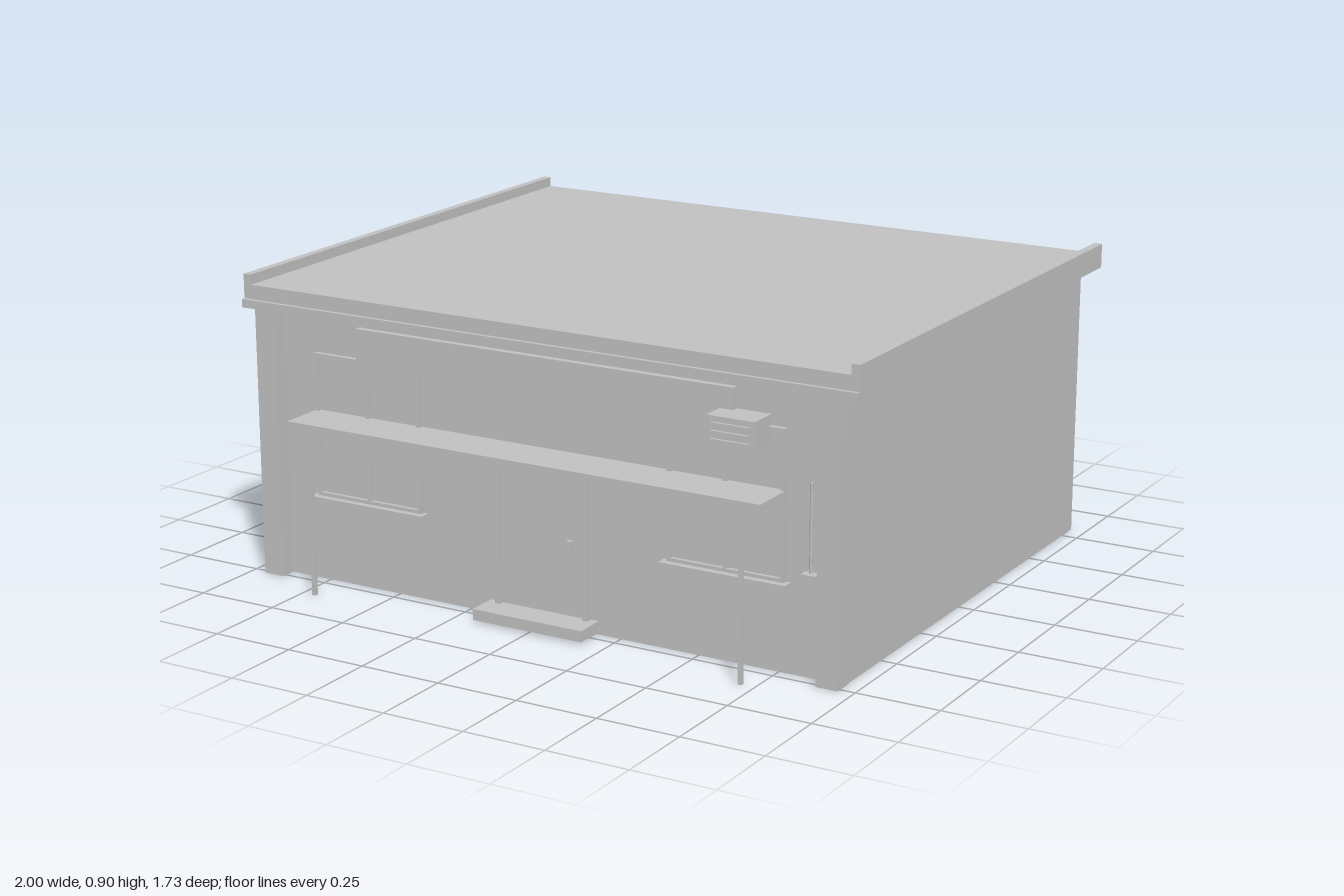
import * as THREE from 'three';

export function createModel() {
  const model = new THREE.Group();
  model.name = 'shopBuilding';
  const grey = new THREE.MeshStandardMaterial({ color: 0xc0c0c0 });
  grey.name = 'plainGrey';
  const WALL = 0.715; // z of the recessed shop front

  // Box given by its extents along each axis
  function box(name, [x0, x1], [y0, y1], [z0, z1], parent = model) {
    const mesh = new THREE.Mesh(new THREE.BoxGeometry(x1 - x0, y1 - y0, z1 - z0), grey);
    mesh.position.set((x0 + x1) / 2, (y0 + y1) / 2, (z0 + z1) / 2);
    mesh.name = name;
    parent.add(mesh);
    return mesh;
  }

  // Main block, corner pilasters and roof
  box('walls', [-0.952, 0.952], [0, 0.835], [-0.82, WALL]);
  box('roofSlab', [-0.975, 0.975], [0.832, 0.875], [-0.86, 0.755]);
  box('frontCornice', [-1, 1], [0.807, 0.832], [0.747, 0.767]);
  box('corniceBacking', [-0.89, 0.89], [0.815, 0.832], [WALL, 0.747]);
  for (const s of [-1, 1]) {
    const side = s < 0 ? 'right' : 'left';
    const span = (a, b) => (s > 0 ? [a, b] : [-b, -a]);
    box(side + 'Pilaster', span(0.888, 0.955), [0, 0.832], [0.7, 0.765]);
    box(side + 'RoofRim', span(0.975, 1), [0.832, 0.905], [-0.86, 0.755]);
  }

  // Sign board
  box('signBoard', [-0.62, 0.615], [0.685, 0.785], [WALL, 0.735]);

  // Windows with frame, mullion and sill
  function windowUnit(name, x0, x1) {
    const g = new THREE.Group();
    g.name = name;
    const y0 = 0.26, y1 = 0.692, t = 0.012, mid = (x0 + x1) / 2;
    const depth = [WALL, WALL + 0.015];
    box('glass', [x0, x1], [y0, y1], [WALL, WALL + 0.003], g);
    for (const x of [x0, mid - t / 2, x1 - t]) box('frameUpright', [x, x + t], [y0, y1], depth, g);
    for (const y of [y0, y1 - t]) box('frameRail', [x0, x1], [y, y + t], depth, g);
    box('sill', [x0 - 0.015, x1 + 0.015], [0.245, 0.262], [WALL, 0.75], g);
    model.add(g);
  }
  windowUnit('rightWindow', -0.775, -0.41);
  windowUnit('leftWindow', 0.405, 0.77);

  // Doorway and step
  box('doorPanel', [-0.14, 0.135], [0.04, 0.49], [WALL, WALL + 0.004]);
  box('doorPostRight', [-0.157, -0.14], [0.04, 0.49], [WALL, 0.735]);
  box('doorPostLeft', [0.135, 0.152], [0.04, 0.49], [WALL, 0.735]);
  box('doorHandle', [0.083, 0.097], [0.233, 0.265], [WALL, 0.732]);
  box('doorStep', [-0.183, 0.178], [0.007, 0.04], [WALL, 0.81]);

  // Awning on two thin posts
  box('awning', [-0.775, 0.77], [0.498, 0.52], [WALL, 0.865]);
  for (const x of [-0.71, 0.705]) {
    box('awningPost', [x - 0.006, x + 0.006], [0, 0.498], [0.842, 0.854]);
  }

  // Air conditioner with front slats
  box('airConditioner', [0.573, 0.72], [0.635, 0.723], [WALL, 0.807]);
  for (const y of [0.657, 0.68, 0.703]) {
    box('airConditionerSlat', [0.59, 0.705], [y - 0.004, y + 0.004], [0.807, 0.816]);
  }

  // Meter box with its conduit
  box('meterBox', [0.828, 0.871], [0.245, 0.302], [WALL, 0.745]);
  const conduit = new THREE.Mesh(new THREE.CylinderGeometry(0.005, 0.005, 0.255, 8), grey);
  conduit.position.set(0.849, 0.4275, WALL + 0.01);
  conduit.name = 'conduit';
  model.add(conduit);

  return model;
}
